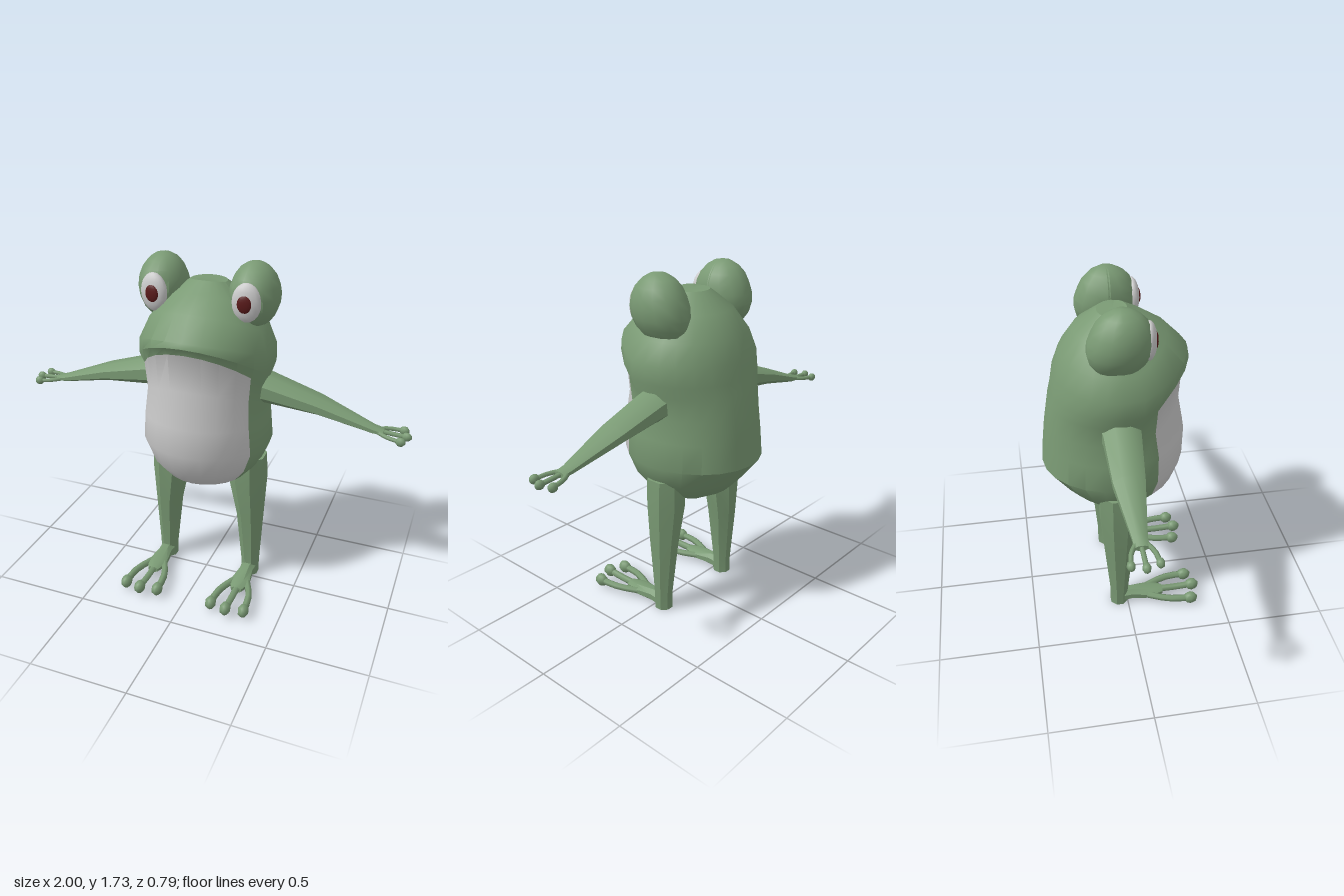
import * as THREE from 'three';
import { toCreasedNormals, mergeGeometries } from 'three/addons/utils/BufferGeometryUtils.js';

const green = new THREE.MeshStandardMaterial({ color: 0x7a9a74 });
const pale = new THREE.MeshStandardMaterial({ color: 0xcccccc });
const red = new THREE.MeshStandardMaterial({ color: 0x5a1a1a });

// Skin a stack of closed rings, with both ends capped by a fan.
function loft(rings, crease) {
  const n = rings[0].length, pos = [], idx = [];
  rings.forEach(r => r.forEach(p => pos.push(...p)));
  for (let i = 0; i < rings.length - 1; i++) {
    for (let j = 0; j < n; j++) {
      const a = i * n + j, b = i * n + (j + 1) % n;
      idx.push(a, b, b + n, a, b + n, a + n);
    }
  }
  [rings[0], rings.at(-1)].forEach((r, end) => {
    const mid = [0, 1, 2].map(k => r.reduce((s, p) => s + p[k], 0) / n);
    const c = pos.length / 3, o = end ? (rings.length - 1) * n : 0;
    pos.push(...mid);
    for (let j = 0; j < n; j++) {
      const a = o + j, b = o + (j + 1) % n;
      if (end) idx.push(c, a, b); else idx.push(c, b, a);
    }
  });
  const g = new THREE.BufferGeometry();
  g.setAttribute('position', new THREE.Float32BufferAttribute(pos, 3));
  g.setIndex(idx);
  return toCreasedNormals(g, crease);
}

// Limb along an axis; each section is [x, y, z, radius along u, radius along v].
const BASIS = { x: [1, 2], y: [2, 0], z: [0, 1] };
function limb(axis, sections, sides = 8) {
  const [u, v] = BASIS[axis];
  return loft(sections.map(s => Array.from({ length: sides }, (_, j) => {
    const t = (j + 0.5) / sides * Math.PI * 2, p = s.slice(0, 3);
    p[u] += s[3] * Math.cos(t);
    p[v] += s[4] * Math.sin(t);
    return p;
  })), 0.7);
}

// Bent digit with a rounded pad on its tip.
function digit(points, radius, pad) {
  const curve = new THREE.CatmullRomCurve3(points.map(p => new THREE.Vector3(...p)));
  const tube = new THREE.TubeGeometry(curve, 5, radius, 6).toNonIndexed();
  const tip = new THREE.SphereGeometry(1, 8, 5).scale(...pad).translate(...points.at(-1)).toNonIndexed();
  return mergeGeometries([tube, tip]);
}

// Copy a part to the other side of x = 0 and restore its winding.
function mirrored(geometry) {
  const g = (geometry.index ? geometry.toNonIndexed() : geometry.clone()).scale(-1, 1, 1);
  for (const key of ['position', 'normal']) {
    const a = g.attributes[key].array;
    for (let i = 0; i < a.length; i += 9) {
      for (let k = 3; k < 6; k++) [a[i + k], a[i + k + 3]] = [a[i + k + 3], a[i + k]];
    }
  }
  return g;
}

// Body rows: front y, side and back y, half width, front z, back z.
const BODY = [
  [0.565, 0.565, 0.07, 0.06, -0.1],
  [0.65, 0.645, 0.215, 0.2, -0.24],
  [0.73, 0.72, 0.278, 0.268, -0.31],
  [0.85, 0.825, 0.322, 0.308, -0.395],
  [1.0, 0.96, 0.31, 0.312, -0.385],
  [1.18, 1.07, 0.298, 0.278, -0.373],
  [1.365, 1.18, 0.31, 0.29, -0.355],
  [1.405, 1.24, 0.33, 0.318, -0.34],
  [1.43, 1.33, 0.33, 0.31, -0.325],
  [1.53, 1.43, 0.29, 0.21, -0.29],
  [1.59, 1.54, 0.2, 0.11, -0.22],
  [1.635, 1.625, 0.09, 0.03, -0.11],
];
const COLS = 24, BELLY_HALF = 4, BELLY_ROWS = [1, 6];

function bodyParts() {
  const z0 = -0.03;
  const g = loft(BODY.map(([yf, ys, w, zf, zb]) => Array.from({ length: COLS }, (_, j) => {
    const t = j / COLS * Math.PI * 2, c = Math.cos(t);
    const front = Math.max(0, (c - 0.3) / 0.7);
    return [w * Math.sin(t), ys + (yf - ys) * front, z0 + (c > 0 ? zf - z0 : z0 - zb) * c];
  })), 0.6);
  // Sort the faces into the belly patch and the skin around it.
  const parts = { body: { position: [], normal: [] }, belly: { position: [], normal: [] } };
  const quads = (BODY.length - 1) * COLS, count = g.attributes.position.count / 3;
  for (let f = 0; f < count; f++) {
    const q = f >> 1, row = Math.floor(q / COLS), col = q % COLS;
    const inside = q < quads && row >= BELLY_ROWS[0] && row < BELLY_ROWS[1]
      && (col < BELLY_HALF || col >= COLS - BELLY_HALF);
    for (const key of ['position', 'normal']) {
      parts[inside ? 'belly' : 'body'][key].push(...g.attributes[key].array.slice(f * 9, f * 9 + 9));
    }
  }
  return Object.entries(parts).map(([name, data]) => {
    const part = new THREE.BufferGeometry();
    for (const key in data) part.setAttribute(key, new THREE.Float32BufferAttribute(data[key], 3));
    return [name, part];
  });
}

// Bulging eye mound: flat in front, swept back towards the base.
function eyeMound() {
  const g = new THREE.SphereGeometry(1, 14, 10);
  g.deleteAttribute('uv');
  const p = g.attributes.position;
  for (let i = 0; i < p.count; i++) {
    const y = Math.max(-0.135, p.getY(i) * 0.155);
    let z = Math.min(0.135, p.getZ(i) * 0.15);
    if (z < 0) z += 0.22 * Math.min(0.05, y);
    p.setXYZ(i, p.getX(i) * 0.119, y, z);
  }
  return toCreasedNormals(g.translate(0.226, 1.58, -0.035), 0.6);
}

const ellipsoid = (rx, ry, rz, x, y, z) =>
  new THREE.SphereGeometry(1, 16, 10).scale(rx, ry, rz).rotateY(0.12).translate(x, y, z);

export function createModel() {
  const model = new THREE.Group();
  model.name = 'frog';
  const add = (name, geometry, material) => {
    const mesh = new THREE.Mesh(geometry, material);
    mesh.name = name;
    model.add(mesh);
  };
  const addPair = (name, geometry, material) => {
    add('left' + name, geometry, material);
    add('right' + name, mirrored(geometry), material);
  };

  // Body and belly
  for (const [name, geometry] of bodyParts()) add(name, geometry, name === 'belly' ? pale : green);

  // Eyes
  addPair('EyeMound', eyeMound(), green);
  addPair('EyeWhite', ellipsoid(0.068, 0.092, 0.035, 0.225, 1.575, 0.09), pale);
  addPair('Pupil', ellipsoid(0.034, 0.041, 0.012, 0.224, 1.575, 0.119), red);

  // Arms
  addPair('Arm', limb('x', [
    [0.22, 1.14, -0.04, 0.09, 0.11],
    [0.31, 1.125, -0.04, 0.075, 0.095],
    [0.56, 1.07, -0.052, 0.046, 0.078],
    [0.82, 0.99, -0.052, 0.021, 0.036],
    [0.87, 0.982, -0.052, 0.014, 0.034],
  ]), green);

  // Fingers
  [-1, 0, 1].forEach((s, i) => addPair('Finger' + (i + 1), digit([
    [0.83, 0.986, -0.052 + s * 0.012],
    [0.89, 0.98, -0.052 + s * 0.048],
    [s ? 0.955 : 0.975, 0.974, -0.052 + s * 0.06],
  ], 0.011, [0.025, 0.022, 0.019]), green));

  // Legs
  addPair('Leg', limb('y', [
    [0.238, 0.005, -0.045, 0.048, 0.046],
    [0.238, 0.09, -0.045, 0.048, 0.048],
    [0.23, 0.38, -0.045, 0.078, 0.07],
    [0.212, 0.6, -0.045, 0.1, 0.1],
    [0.215, 0.74, -0.045, 0.1, 0.09],
  ]), green);

  // Feet
  addPair('Foot', limb('z', [
    [0.238, 0.045, -0.05, 0.045, 0.04],
    [0.238, 0.047, 0.02, 0.038, 0.037],
    [0.238, 0.045, 0.13, 0.055, 0.026],
    [0.238, 0.045, 0.19, 0.03, 0.018],
  ]), green);

  // Toes
  [-1, 0, 1].forEach((s, i) => addPair('Toe' + (i + 1), digit([
    [0.238 + s * 0.02, 0.045, 0.08],
    [0.238 + s * 0.07, 0.046, 0.19],
    [0.238 + s * 0.085, 0.046, s ? 0.25 : 0.27],
    [0.238 + s * 0.088, s ? 0.044 : 0.052, s ? 0.33 : 0.355],
  ], 0.018, [0.029, 0.034, 0.038]), green));

  return model;
}
